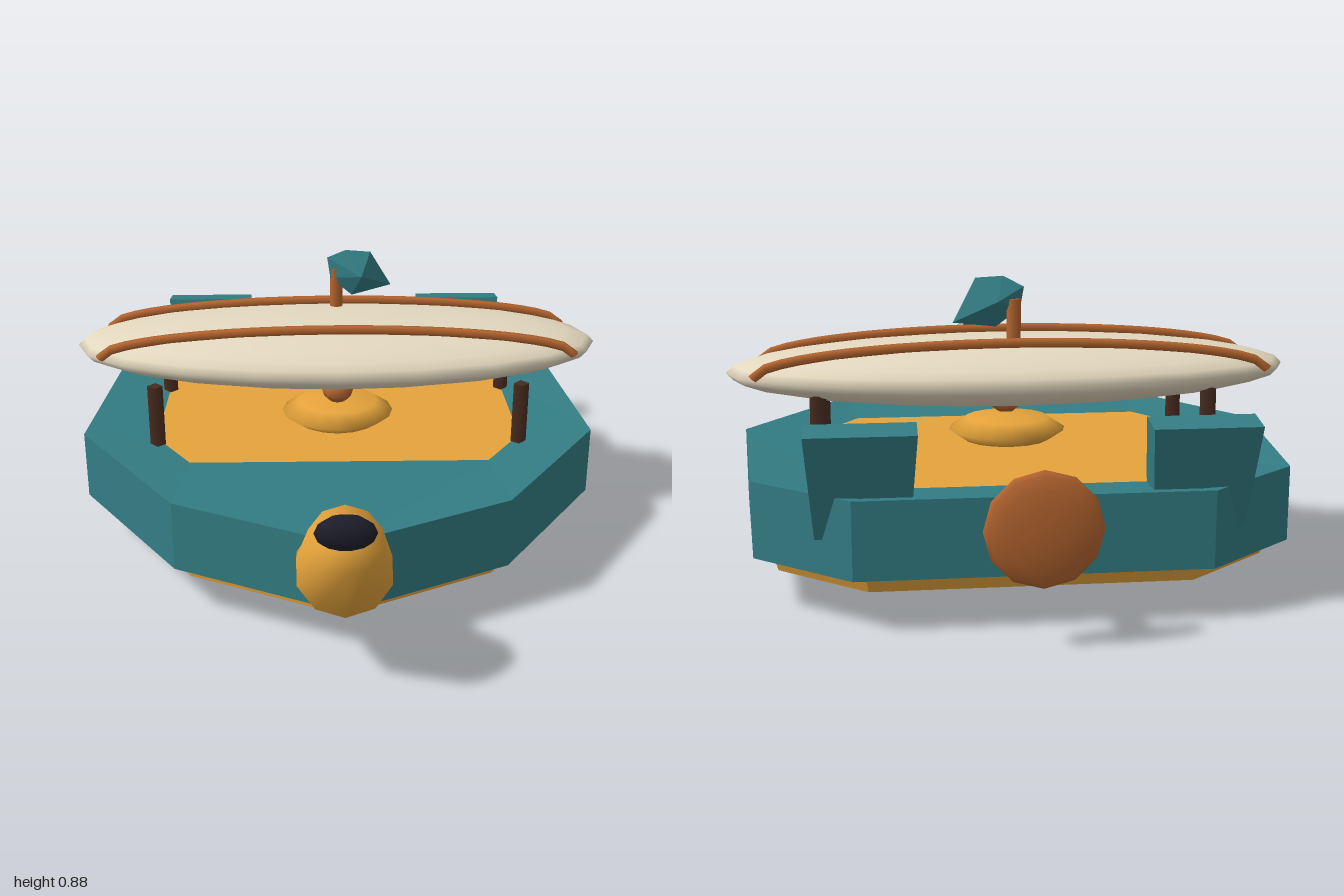
import * as THREE from 'three';
import { ConvexGeometry } from 'three/addons/geometries/ConvexGeometry.js';

const V = (x, y, z) => new THREE.Vector3(x, y, z);
const mat = (name, color) => {
  const m = new THREE.MeshStandardMaterial({ color });
  m.name = name;
  return m;
};

// Skin a stack of rings (counter-clockwise seen from the last ring), with optional caps
function loft(rings, { bottom = false, top = false, smooth = false } = {}) {
  const pos = [], idx = [], n = rings[0].length;
  const add = p => pos.push(p.x, p.y, p.z) / 3 - 1;
  rings.forEach(r => r.forEach(add));
  for (let k = 0; k < rings.length - 1; k++) {
    for (let i = 0; i < n; i++) {
      const a = k * n + i, b = k * n + (i + 1) % n;
      idx.push(a, b, b + n, a, b + n, a + n);
    }
  }
  const cap = (k, up) => {
    const c = V(0, 0, 0);
    rings[k].forEach(p => c.addScaledVector(p, 1 / n));
    const ci = add(c);
    for (let i = 0; i < n; i++) {
      const a = k * n + i, b = k * n + (i + 1) % n;
      if (up) idx.push(ci, a, b); else idx.push(ci, b, a);
    }
  };
  if (bottom) cap(0, false);
  if (top) cap(rings.length - 1, true);
  let g = new THREE.BufferGeometry();
  g.setAttribute('position', new THREE.Float32BufferAttribute(pos, 3));
  g.setIndex(idx);
  if (!smooth) g = g.toNonIndexed();
  g.computeVertexNormals();
  return g;
}

// Mirror a half outline (first point on the centre line) into a closed loop
const mirrorLoop = half => [...half, ...half.slice(1).reverse().map(([x, z]) => [-x, z])];
const ringAt = (loop, y, s = 1, dz = 0) => loop.map(([x, z]) => V(x * s, y, z * s + dz));

export function createModel() {
  const teal = mat('teal paint', 0x337d84);
  const yellow = mat('yellow paint', 0xe6a43b);
  const copper = mat('copper', 0xb5652f);
  const keelWood = mat('keel wood', 0xa0582c);
  const postWood = mat('dark post wood', 0x482c1f);
  const cream = mat('cream canvas', 0xe4d8bf);
  const dark = mat('dark glass', 0x1e1e2b);

  const group = new THREE.Group();
  const part = (name, geo, m, x = 0, y = 0, z = 0) => {
    const mesh = new THREE.Mesh(geo, m);
    mesh.name = name;
    mesh.position.set(x, y, z);
    group.add(mesh);
  };
  const ellipsoid = (rx, ry, rz, w = 12, h = 8) =>
    new THREE.SphereGeometry(1, w, h).scale(rx, ry, rz);

  // Hull: angular outline with a deck opening
  const outline = mirrorLoop([[0, 0.73], [0.49, 0.49], [0.81, 0.02], [0.75, -0.6], [0.48, -0.82]]);
  const opening = mirrorLoop([[0, 0.2], [0.46, 0.2], [0.58, 0.02], [0.57, -0.47], [0.35, -0.66]]);
  part('hull', loft([ringAt(outline, 0.148), ringAt(outline, 0.365), ringAt(opening, 0.35)]), teal);
  part('deckFloor', loft([ringAt(opening, 0.34), ringAt(opening, 0.35)], { top: true }), yellow);

  // Band under the hull, reaching out to the hull's lower edge
  part('hullBand', loft([
    ringAt(outline, 0.095, 0.915, -0.005),
    ringAt(outline, 0.147, 0.932, -0.01),
    ringAt(outline, 0.148),
  ]), yellow);
  part('keel', loft([ringAt(outline, 0, 0.49, -0.053), ringAt(outline, 0.095, 0.915, -0.005)], { bottom: true }), keelWood);

  // Bow nozzle: three rings bending upward; each is centre y, z, half-height vector y, z, half-width
  const nozzleRings = [
    [0.27, 0.68, 0.122, -0.05, 0.135],
    [0.33, 0.81, 0.09, -0.09, 0.135],
    [0.485, 0.915, 0.055, -0.085, 0.1],
  ].map(([y, z, vy, vz, w]) => Array.from({ length: 10 }, (_, i) => {
    const a = i / 10 * Math.PI * 2, s = Math.sin(a), c = Math.cos(a);
    return V(s * w, y - c * vy, z - c * vz);
  }));
  part('bowNozzle', loft(nozzleRings, { bottom: true, top: true, smooth: true }), yellow);
  part('nozzleTip', ellipsoid(0.082, 0.052, 0.035, 10, 6), dark, 0, 0.508, 0.922);

  // Deck dome and knob
  part('deckDome', ellipsoid(0.18, 0.05, 0.165, 16, 4), yellow, 0, 0.383, -0.12);
  part('domeKnob', ellipsoid(0.05, 0.04, 0.05, 8, 6), copper, 0, 0.465, -0.09);

  // Posts carrying the balloon
  for (const x of [-0.57, 0.57]) {
    for (const z of [0.067, -0.367]) {
      part('post', new THREE.CylinderGeometry(0.024, 0.024, 0.205, 4), postWood, x, 0.4475, z);
    }
  }

  // Balloon with two ropes over it
  part('balloon', ellipsoid(0.843, 0.098, 0.313, 20, 14), cream, 0, 0.587, -0.195);
  for (const z of [-0.055, -0.337]) {
    const pts = Array.from({ length: 17 }, (_, i) => {
      const a = Math.PI * i / 16;
      return V(Math.cos(a) * 0.755, 0.595 + Math.sin(a) * 0.09, z);
    });
    part('balloonRope', new THREE.TubeGeometry(new THREE.CatmullRomCurve3(pts), 32, 0.015, 6), copper);
  }

  // Mast and pennant
  part('mast', new THREE.CylinderGeometry(0.021, 0.021, 0.15, 8), copper, 0, 0.735, -0.3);
  part('pennant', new ConvexGeometry([
    V(-0.03, 0.845, -0.3), V(0.03, 0.875, -0.285), V(0.11, 0.87, -0.28), V(0.18, 0.745, -0.32),
    V(0.05, 0.725, -0.275), V(-0.02, 0.78, -0.29), V(0.08, 0.8, -0.23), V(0.05, 0.805, -0.335),
  ]), teal);

  // Stern fins: wedge profile in z and y, extruded along x and narrowing downward
  const fin = new THREE.Shape([
    [0.735, 0.55], [0.69, 0.37], [0.745, 0.245], [0.757, 0.245], [0.827, 0.535],
  ].map(([z, y]) => new THREE.Vector2(z, y)));
  for (const x of [-0.4525, 0.4525]) {
    const g = new THREE.ExtrudeGeometry(fin, { depth: 0.295, bevelEnabled: false });
    g.rotateY(Math.PI / 2).translate(-0.1475, 0, 0);
    const p = g.attributes.position;
    for (let i = 0; i < p.count; i++) p.setX(i, p.getX(i) * (1 - (0.55 - p.getY(i)) * 0.5));
    g.computeVertexNormals();
    part('sternFin', g, teal, x);
  }

  // Stern propeller
  part('propellerShaft', new THREE.CylinderGeometry(0.038, 0.038, 0.16, 10).rotateX(Math.PI / 2), copper, 0, 0.32, -0.88);
  part('propellerDisk', new THREE.SphereGeometry(1, 12, 8).rotateX(Math.PI / 2).scale(0.155, 0.155, 0.033), copper, 0, 0.32, -0.967);

  return group;
}
